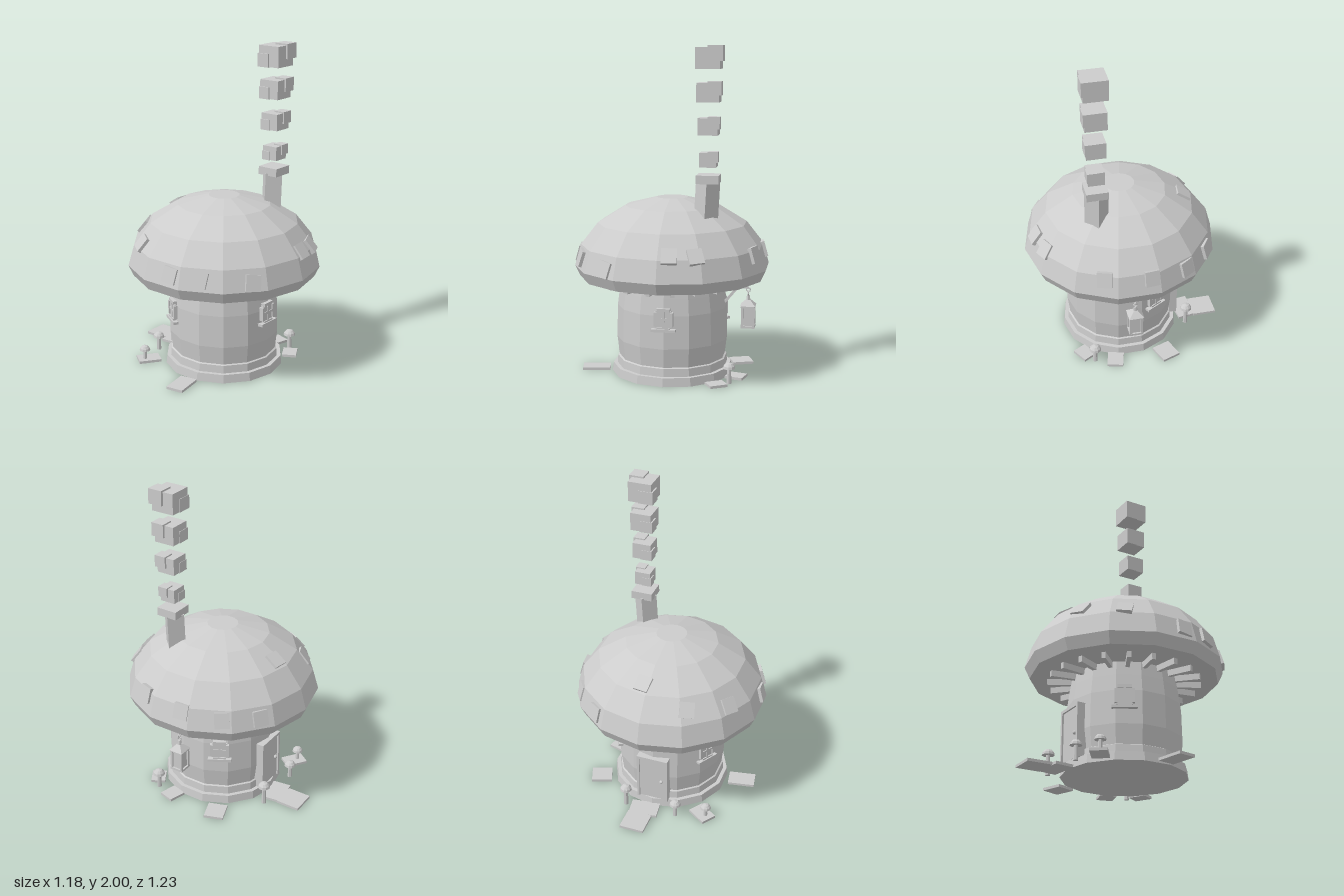
import * as THREE from 'three';

const stone = new THREE.MeshStandardMaterial({ color: 0xcccccc });
stone.name = 'paleGrey';
const CZ = 0.017; // z of the house axis
const rad = THREE.MathUtils.degToRad;

function part(parent, name, geo, pos = [0, 0, 0], rot = [0, 0, 0]) {
  const g = geo.index ? geo.toNonIndexed() : geo;
  g.computeVertexNormals(); // faceted look
  const m = new THREE.Mesh(g, stone);
  m.name = name;
  m.position.set(...pos);
  m.rotation.set(...rot);
  parent.add(m);
  return m;
}
const box = (p, name, size, pos, rot) => part(p, name, new THREE.BoxGeometry(...size), pos, rot);
const cyl = (p, name, rt, rb, h, n, pos, rot) => part(p, name, new THREE.CylinderGeometry(rt, rb, h, n), pos, rot);
const lathe = (p, name, pts, n, pos) =>
  part(p, name, new THREE.LatheGeometry(pts.map(q => new THREE.Vector2(...q)), n), pos);
function group(parent, name, pos = [0, 0, 0], ry = 0) {
  const g = new THREE.Group();
  g.name = name;
  g.position.set(...pos);
  g.rotation.y = ry;
  parent.add(g);
  return g;
}

// roof outline from rim to crown
const dome = [[0.597, 0.67], [0.56, 0.8], [0.457, 0.932], [0.287, 1.037], [0.095, 1.087]];

function roofSpot(parent, deg, y) {
  let i = 0;
  while (i < dome.length - 2 && y > dome[i + 1][1]) i++;
  const [r0, y0] = dome[i], [r1, y1] = dome[i + 1];
  const r = (r0 + (r1 - r0) * (y - y0) / (y1 - y0)) * 0.985;
  const g = group(parent, 'roofSpot', [0, y, CZ], rad(deg));
  box(g, 'spotPlate', [0.09, 0.095, 0.026], [0, 0, r], [-Math.atan2(r0 - r1, y1 - y0), 0, rad((deg * 7) % 9 - 4)]);
}

function windowUnit(parent, deg, y) {
  const g = group(parent, 'window', [0, y, CZ], rad(deg));
  const z = 0.328;
  box(g, 'windowPane', [0.09, 0.1, 0.03], [0, 0, z]);
  for (const s of [-1, 1]) {
    box(g, 'windowSideFrame', [0.018, 0.085, 0.045], [s * 0.049, 0, z]);
    box(g, 'windowRail', [0.08, 0.018, 0.045], [0, s * 0.057, z]);
  }
  box(g, 'windowMullion', [0.014, 0.11, 0.04], [0, 0, z]);
  box(g, 'windowCrossbar', [0.1, 0.014, 0.04], [0, 0, z]);
  box(g, 'windowSill', [0.145, 0.016, 0.06], [0, -0.066, z]);
}

function toadstool(parent, x, z, top, r) {
  const g = group(parent, 'toadstool', [x, 0, z]);
  const y = top - r * 0.95;
  cyl(g, 'toadstoolStem', r * 0.32, r * 0.4, y, 7, [0, y / 2, 0]);
  lathe(g, 'toadstoolCap', [[0, y], [r, y], [r * 0.9, y + r * 0.4], [r * 0.55, y + r * 0.8], [0, top]], 10);
}

function lantern(parent) {
  const g = group(parent, 'lantern', [0.47, 0, 0.02]);
  box(g, 'bracketArm', [0.17, 0.022, 0.025], [-0.085, 0.543, 0]);
  box(g, 'bracketBrace', [0.125, 0.016, 0.018], [-0.105, 0.49, 0], [0, 0, rad(50)]);
  for (const [i, y] of [0.525, 0.5].entries())
    part(g, 'chainLink', new THREE.TorusGeometry(0.012, 0.004, 5, 8), [0, y, 0], [0, i * Math.PI / 2, 0]);
  cyl(g, 'lanternFinial', 0.01, 0.014, 0.03, 6, [0, 0.475, 0]);
  cyl(g, 'lanternRoof', 0.018, 0.066, 0.035, 4, [0, 0.445, 0], [0, Math.PI / 4, 0]);
  box(g, 'lanternGlass', [0.062, 0.12, 0.062], [0, 0.36, 0]);
  for (const y of [0.423, 0.297]) box(g, 'lanternPlate', [0.084, 0.014, 0.084], [0, y, 0]);
  for (const sx of [-1, 1])
    for (const sz of [-1, 1]) box(g, 'lanternPost', [0.014, 0.12, 0.014], [sx * 0.034, 0.36, sz * 0.034]);
}

function door(parent) {
  const g = group(parent, 'door', [0, 0, CZ], Math.PI);
  box(g, 'doorPanel', [0.18, 0.3, 0.04], [0, 0.205, 0.335]);
  for (const s of [-1, 1]) box(g, 'doorJamb', [0.016, 0.32, 0.06], [s * 0.093, 0.21, 0.336]);
  box(g, 'doorLintel', [0.202, 0.018, 0.06], [0, 0.363, 0.336]);
  part(g, 'doorKnob', new THREE.IcosahedronGeometry(0.012, 1), [0.06, 0.2, 0.36]);
}

export function createModel() {
  const house = new THREE.Group();
  house.name = 'mushroomHouse';

  // foundation, trunk wall and roof
  lathe(house, 'foundation', [[0, 0], [0.372, 0], [0.366, 0.052], [0, 0.052]], 14, [0, 0, CZ]);
  lathe(house, 'wall', [[0.342, 0.05], [0.338, 0.1], [0.328, 0.105], [0.342, 0.22], [0.338, 0.42],
    [0.325, 0.52], [0.312, 0.61]], 14, [0, 0, CZ]);
  lathe(house, 'roof', [[0, 0.602], [0.565, 0.602], ...dome, [0, 1.087]], 14, [0, 0, CZ]);

  // radial beams under the roof
  for (let i = 0; i < 20; i++) {
    const g = group(house, 'roofBeam', [0, 0.585, CZ], (i + 0.5) * Math.PI / 10);
    box(g, 'beam', [0.024, 0.04, 0.16], [0, 0, 0.38]);
  }

  // raised spots: angle from the front, height
  for (const [deg, y] of [[7, 0.82], [23, 0.815], [69, 0.78], [98, 0.77], [123, 0.745], [146, 0.735],
    [-34, 0.72], [-65, 0.74], [-84, 0.74], [-120, 0.835], [-150, 0.87], [175, 0.965]]) roofSpot(house, deg, y);

  // chimney
  cyl(house, 'chimney', 0.072, 0.072, 0.26, 4, [0.235, 1.08, 0.204], [0, 0, rad(-3)]);
  box(house, 'chimneyCap', [0.133, 0.05, 0.133], [0.245, 1.225, 0.21]);

  // smoke puffs of overlapping cubes
  for (const [y, s] of [[1.34, 0.68], [1.535, 0.8], [1.732, 0.9], [1.93, 1]]) {
    const g = group(house, 'smokePuff', [0.245, y, 0.212]);
    g.scale.setScalar(s);
    box(g, 'puffMain', [0.145, 0.125, 0.145], [0, -0.003, 0]);
    box(g, 'puffFront', [0.09, 0.09, 0.09], [0.045, 0.025, 0.039]);
    box(g, 'puffBack', [0.09, 0.08, 0.08], [-0.037, -0.028, -0.036]);
  }

  windowUnit(house, 0, 0.403);
  windowUnit(house, 120, 0.38);
  windowUnit(house, 240, 0.38);
  door(house);
  lantern(house);

  // toadstools: x, z, height, cap radius
  for (const t of [[0.38, 0.255, 0.13, 0.038], [0.16, -0.395, 0.155, 0.038], [-0.17, -0.39, 0.12, 0.036],
    [-0.355, -0.34, 0.105, 0.034]]) toadstool(house, ...t);

  // paving slabs: x, z, width, depth, turn
  for (const [x, z, w, d, a] of [[0.04, -0.54, 0.155, 0.15, 0], [0.03, -0.41, 0.18, 0.12, 8],
    [0.41, -0.2, 0.13, 0.12, 20], [0.41, 0.13, 0.11, 0.1, -15], [0.31, 0.31, 0.11, 0.09, 30],
    [-0.47, 0.07, 0.17, 0.11, 10], [-0.33, -0.33, 0.14, 0.1, -35]])
    box(house, 'pavingSlab', [w, 0.016, d], [x, 0.008, z], [0, rad(a), 0]);

  return house;
}
